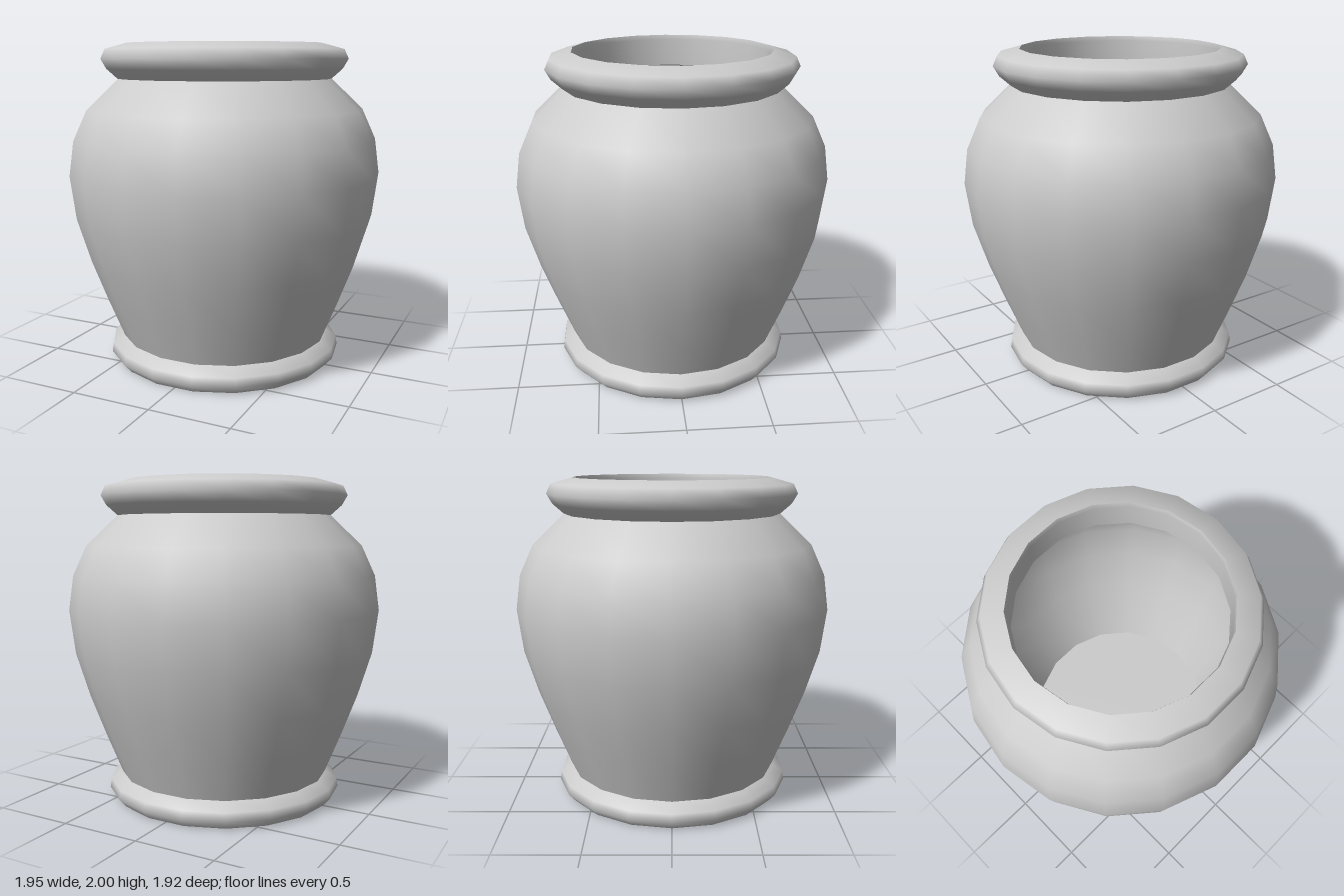
import * as THREE from 'three';

const SIDES = 18;

export function createModel() {
  const group = new THREE.Group();
  const material = new THREE.MeshStandardMaterial({ color: 0xcccccc });

  // Turned section; the profile runs so that its surface faces outward.
  // Separate sections keep the edges between them sharp.
  function turned(name, profile) {
    const points = profile.map(([r, y]) => new THREE.Vector2(r, y));
    const geometry = new THREE.LatheGeometry(points, SIDES, Math.PI / SIDES);
    const mesh = new THREE.Mesh(geometry, material);
    mesh.name = name;
    group.add(mesh);
  }

  // Foot
  turned('underside', [[0, 0], [0.705, 0]]);
  turned('footRing', [[0.705, 0], [0.748, 0.05], [0.738, 0.105], [0.665, 0.15]]);

  // Bulging outer wall
  turned('body', [
    [0.665, 0.15], [0.765, 0.4], [0.86, 0.655], [0.943, 0.93], [0.977, 1.2],
    [0.947, 1.415], [0.862, 1.6], [0.668, 1.785],
  ]);

  // Rolled rim
  turned('rim', [
    [0.668, 1.785], [0.735, 1.845], [0.769, 1.905], [0.742, 1.963], [0.61, 2],
  ]);
  turned('innerLip', [[0.61, 2], [0.602, 1.97], [0.602, 1.8]]);

  // Hollow inside
  turned('innerWall', [
    [0.602, 1.8], [0.81, 1.58], [0.892, 1.4], [0.92, 1.2], [0.888, 0.93],
    [0.805, 0.655], [0.71, 0.4], [0.615, 0.15],
  ]);
  turned('innerFloor', [[0.615, 0.15], [0, 0.15]]);

  return group;
}
